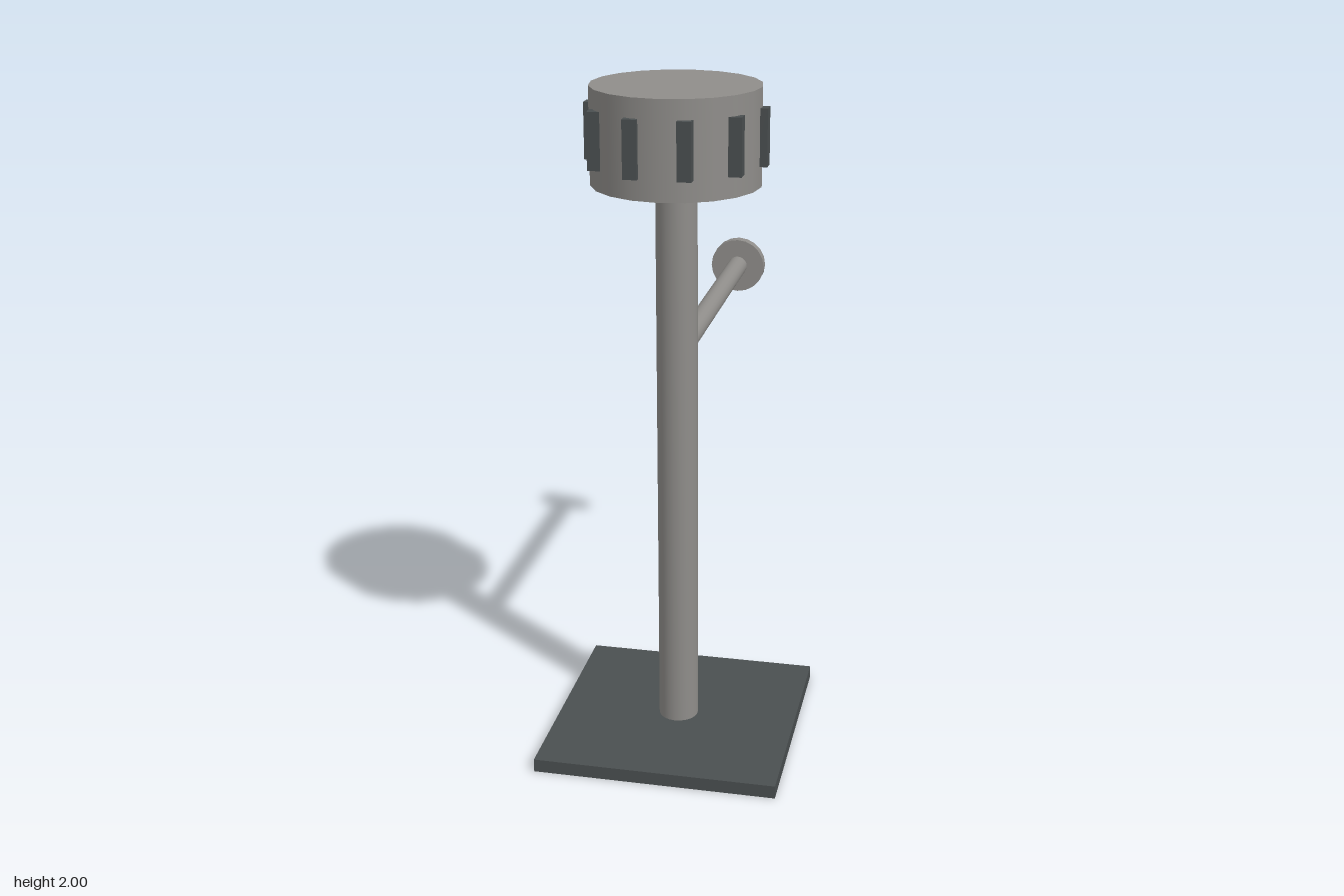
import * as THREE from 'three';

export function createModel() {
  const model = new THREE.Group();
  const steel = new THREE.MeshStandardMaterial({ color: 0x8f8d8a });
  steel.name = 'warm grey steel';
  const dark = new THREE.MeshStandardMaterial({ color: 0x4a4f50 });
  dark.name = 'dark grey';
  const postZ = 0.323;

  const add = (name, geometry, material, x, y, z, parent = model) => {
    const mesh = new THREE.Mesh(geometry, material);
    mesh.name = name;
    mesh.position.set(x, y, z);
    parent.add(mesh);
    return mesh;
  };
  const cylinder = (radius, length) => new THREE.CylinderGeometry(radius, radius, length, 20);

  // Square foot and upright post
  add('basePlate', new THREE.BoxGeometry(0.726, 0.04, 0.726), dark, 0, 0.02, postZ);
  add('post', cylinder(0.06, 1.7), steel, 0, 0.88, postZ);

  // Drum head with ten upright grips, all square to the base
  const head = new THREE.Group();
  head.name = 'head';
  head.position.set(0, 1.861, postZ);
  model.add(head);
  add('drum', cylinder(0.242, 0.278), steel, 0, 0, 0, head);
  const gripGeometry = new THREE.BoxGeometry(0.04, 0.162, 0.04);
  for (let i = 0; i < 10; i++) {
    const a = (i / 10) * Math.PI * 2;
    add('grip', gripGeometry, dark, 0.24 * Math.cos(a), 0.002, 0.24 * Math.sin(a), head);
  }

  // Arm reaching backwards, with an end disc
  const armStart = 0.28, armEnd = -0.66;
  add('arm', cylinder(0.032, armStart - armEnd), steel, 0, 1.216, (armStart + armEnd) / 2)
    .rotation.x = Math.PI / 2;
  add('endDisc', cylinder(0.09, 0.034), steel, 0, 1.216, -0.669).rotation.x = Math.PI / 2;

  return model;
}
